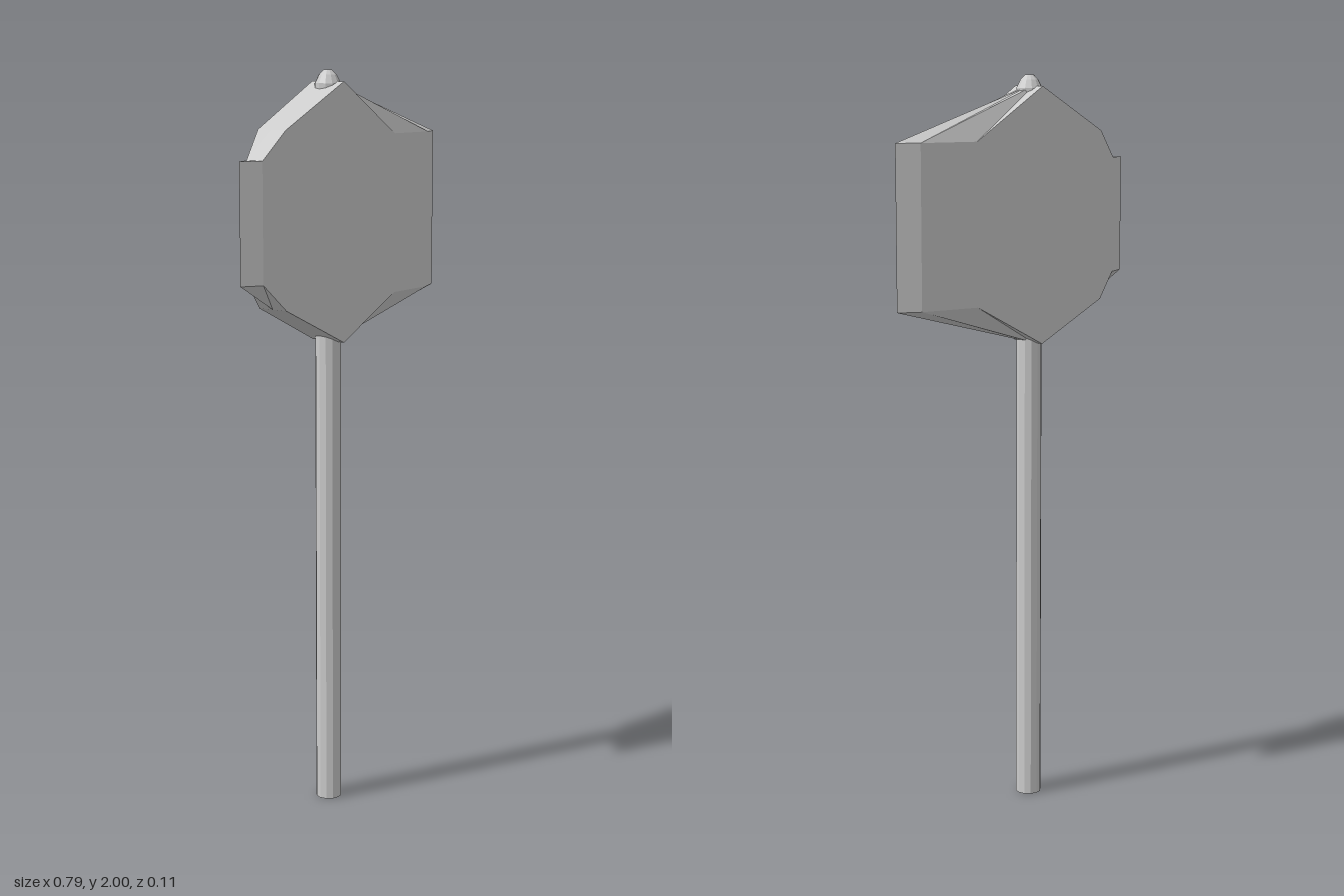
import * as THREE from 'three';

const material = new THREE.MeshStandardMaterial({ color: 0xcccccc, flatShading: true, side: THREE.DoubleSide });

// Blade cross-sections from the left-hand tip to the right-hand tip: x, half thickness, bottom y, top y
const sections = [
  [-0.397, 0, 1.46, 1.775], [-0.34, 0.028, 1.46, 1.775], [-0.275, 0.048, 1.39, 1.85],
  [-0.055, 0.055, 1.285, 1.97],
  [0.165, 0.048, 1.4, 1.83], [0.335, 0.028, 1.4, 1.83], [0.395, 0, 1.4, 1.83],
];

function bladeGeometry() {
  const positions = [];
  // Every triangle is added with its mirror image across z = 0
  const tri = (a, b, c) => {
    positions.push(...a, ...b, ...c);
    for (const [x, y, z] of [a, c, b]) positions.push(x, y, -z);
  };
  const quad = (a, b, c, d, flip = false) => {
    if (flip) [b, d] = [d, b];
    tri(a, b, c);
    tri(a, c, d);
  };
  const corner = (i, top, zScale = 1) => {
    const [x, z, y0, y1] = sections[i];
    return [x, top ? y1 : y0, z * zScale];
  };
  // Fan of facets narrowing from a crosswise edge to the thin tip
  const fan = (from, outer, top, scales, flip) => {
    const inner = scales.map((s) => corner(from, top, s));
    const rim = [inner[0], ...outer.map((i) => corner(i, top))];
    for (let k = 0; k < outer.length; k++) quad(rim[k], rim[k + 1], inner[k + 1], inner[k], flip);
  };
  // Straight crosswise strip between two neighbouring sections
  const strip = (i, top) =>
    quad(corner(i, top), corner(i + 1, top), corner(i + 1, top, 0), corner(i, top, 0), !top);

  // Broad faces
  for (let i = 0; i < sections.length - 1; i++) {
    quad(corner(i, false), corner(i + 1, false), corner(i + 1, true), corner(i, true));
  }
  // Upper and lower rims
  for (const i of [0, 1, 2]) strip(i, true);
  strip(2, false);
  fan(2, [1, 0], false, [1, 0.5, 0], false);
  for (const top of [true, false]) fan(3, [4, 5, 6], top, [1, 0.55, 0.31, 0], !top);

  const geometry = new THREE.BufferGeometry();
  geometry.setAttribute('position', new THREE.Float32BufferAttribute(positions, 3));
  geometry.computeVertexNormals();
  return geometry;
}

export function createModel() {
  const group = new THREE.Group();
  const add = (name, geometry) => {
    const mesh = new THREE.Mesh(geometry, material);
    mesh.name = name;
    group.add(mesh);
    return mesh;
  };

  add('axeBlade', bladeGeometry());

  // Shaft with a tapered, blunt end poking out above the blade
  const profile = [[0, 0], [0.035, 0], [0.035, 1.965], [0.024, 1.987], [0.011, 2], [0, 2]];
  const shaft = add('shaft', new THREE.LatheGeometry(profile.map(([r, y]) => new THREE.Vector2(r, y)), 12));
  shaft.position.x = -0.056;

  return group;
}
